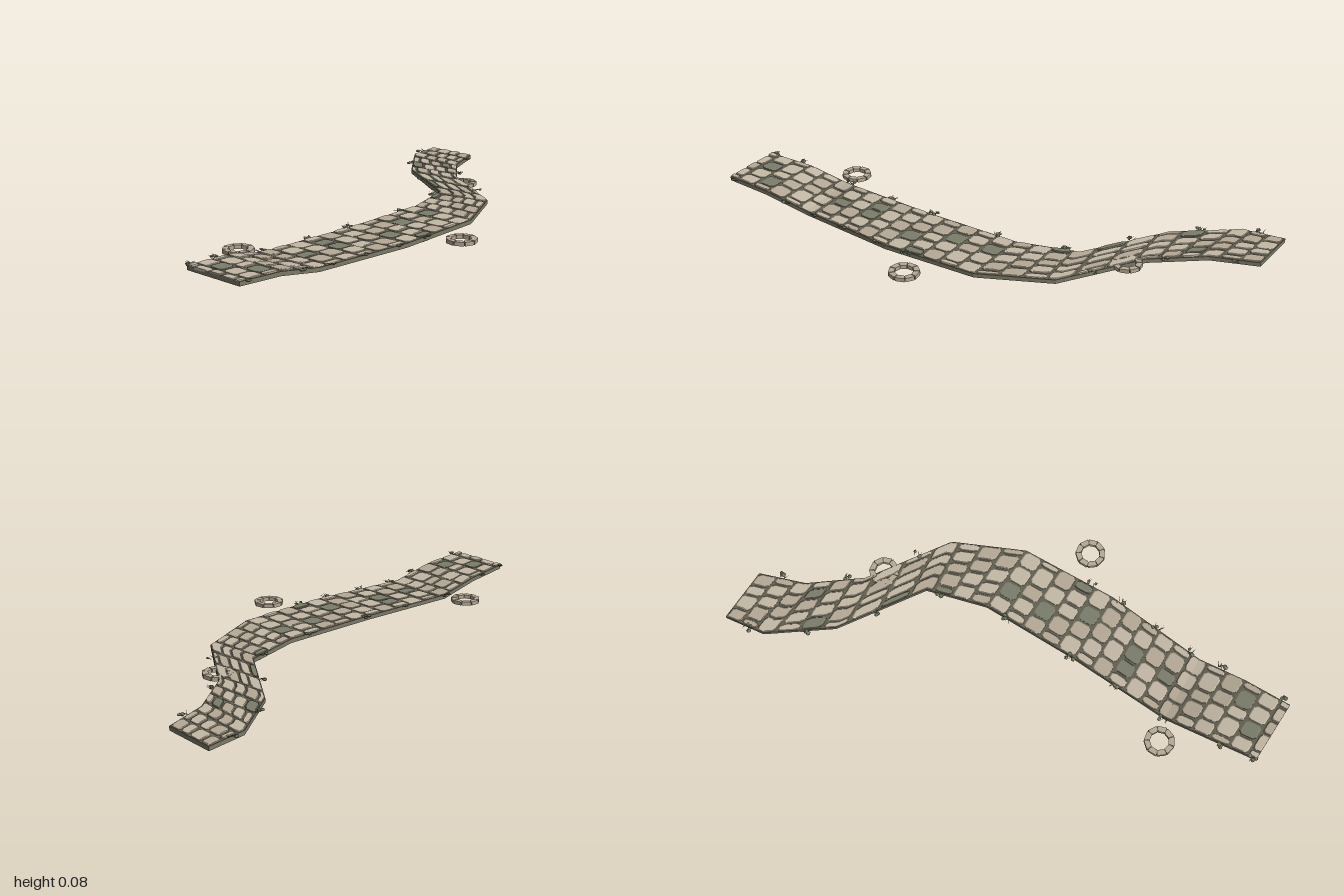
import * as THREE from 'three';
import { mergeGeometries } from 'three/addons/utils/BufferGeometryUtils.js';

// Cross-lines of the path: left x, left z, right x, right z, base height, stone rows counted so far
const stations = [
  [-0.525, -1.0, -0.31, -1.0, 0.005, 0],
  [-0.5, -0.84, -0.245, -0.825, 0.005, 2.5],
  [-0.33, -0.62, -0.1, -0.645, 0.005, 5.6],
  [-0.01, -0.42, 0.21, -0.45, 0.005, 8.6],
  [0.06, -0.185, 0.338, -0.185, 0.005, 12],
  [0.065, 0.21, 0.357, 0.2, 0.005, 17],
  [0.05, 0.62, 0.322, 0.61, 0.006, 22.5],
  [0.063, 0.8, 0.332, 0.8, 0.04, 25],
  [0.085, 0.988, 0.335, 0.988, 0.052, 27.5],
];
const SLAB = 0.016;

// Approximate x, z of the darker mossy stones
const darkSpots = [[0.145, -0.13], [0.145, 0.02], [0.23, 0.185], [0.11, 0.4], [0.19, 0.4], [0.17, 0.55],
  [0.26, 0.84], [0.155, 0.91], [0.33, 0.1], [0.02, -0.37], [-0.27, -0.77], [-0.38, -0.7], [-0.14, -0.52]];

// z positions of the weeds along each edge
const weeds = {
  0: [-0.9, -0.71, -0.53, -0.37, -0.1, 0.2, 0.4, 0.62, 0.84, 0.97],
  1: [-0.91, -0.7, -0.53, 0.1, 0.24, 0.41, 0.56, 0.7, 0.95],
};

let seed = 7;
const rnd = (a, b) => {
  seed = (seed * 16807) % 2147483647;
  return a + (b - a) * (seed / 2147483647);
};

// Point on the path: u across (0..1), segment i, v along the segment (0..1), h above the base
function at(u, i, v, h) {
  const p = stations[i], q = stations[i + 1];
  const m = (k) => p[k] + (q[k] - p[k]) * v;
  return [m(0) + (m(2) - m(0)) * u, m(4) + h, m(1) + (m(3) - m(1)) * u];
}

// Solid between two matching rings, counter-clockwise seen from above
function prism(bottom, top) {
  const out = [], n = top.length;
  for (let i = 0; i < n; i++) {
    const j = (i + 1) % n;
    out.push(...bottom[i], ...bottom[j], ...top[j], ...bottom[i], ...top[j], ...top[i]);
    if (i > 0 && i < n - 1) out.push(...top[0], ...top[i], ...top[j], ...bottom[0], ...bottom[j], ...bottom[i]);
  }
  const g = new THREE.BufferGeometry();
  g.setAttribute('position', new THREE.Float32BufferAttribute(out, 3));
  g.computeVertexNormals();
  return g;
}

// Block of the path bed between two fractions of a segment and two heights
function slab(i, u0, u1, v0, v1, h0, h1) {
  const ring = (h) => [[u0, v0], [u0, v1], [u1, v1], [u1, v0]].map(([u, v]) => at(u, i, v, h));
  return prism(ring(h0), ring(h1));
}

function plain(g) {
  const f = g.index ? g.toNonIndexed() : g;
  f.deleteAttribute('uv');
  f.computeVertexNormals();
  return f;
}

// Paving stone with a bevelled top; corners are cut only at ends that meet a joint
function stone({ i, u0, u1, v0, v1, openStart, openEnd }, low, high) {
  const ring = (inset, h) => {
    const du = (u1 - u0) * inset, dv = (v1 - v0) * inset;
    const a = u0 + du, b = u1 - du;
    const c = v0 + (openStart ? dv : 0), d = v1 - (openEnd ? dv : 0);
    const cs = openStart ? 0.17 : 0.005, ce = openEnd ? 0.17 : 0.005;
    const us = (b - a) * cs, ue = (b - a) * ce, vs = (d - c) * cs, ve = (d - c) * ce;
    return [[a, c + vs], [a, d - ve], [a + ue, d], [b - ue, d], [b, d - ve], [b, c + vs], [b - us, c], [a + us, c]]
      .map(([u, v]) => at(u, i, v, h));
  };
  const mid = ring(0, high - 0.002);
  return mergeGeometries([prism(ring(0, low), mid), prism(mid, ring(0.05, high))]);
}

export function createModel() {
  const model = new THREE.Group();
  const material = (name, color) => Object.assign(new THREE.MeshStandardMaterial({ color }), { name });
  const mats = {
    bed: material('bed grey', 0x7b7a67),
    under: material('underside grey', 0x9a9382),
    mortar: material('mortar', 0x626050),
    stone: material('pale stone', 0xc4b9a6),
    worn: material('worn stone', 0xb5aa96),
    dark: material('mossy stone', 0x7b7d6b),
    weed: material('weed green', 0x717459),
  };
  const add = (name, geometries, mat) => {
    const mesh = new THREE.Mesh(mergeGeometries(geometries), mat);
    mesh.name = name;
    model.add(mesh);
  };

  // Staggered division of each row into stones
  const rowCuts = Array.from({ length: 28 }, (_, r) => {
    const cuts = r % 2 ? [0, 0.14, 0.38, 0.62, 0.87, 1] : [0, 0.26, 0.5, 0.75, 1];
    return cuts.map((c) => (c > 0 && c < 1 ? c + rnd(-0.03, 0.03) : c));
  });

  // Bed with a lighter underside, mortar skin and joints
  const bed = [], under = [], mortar = [], cells = [];
  for (let i = 0; i < stations.length - 1; i++) {
    bed.push(slab(i, 0, 1, 0, 1, 0, SLAB - 0.001));
    under.push(slab(i, 0.01, 0.99, 0.02, 0.98, -0.001, 0.001));
    mortar.push(slab(i, 0, 1, 0, 1, SLAB - 0.001, SLAB));
    const from = stations[i][5], to = stations[i + 1][5];
    for (let r = Math.floor(from); r < to; r++) {
      const openStart = r >= from, openEnd = r + 1 <= to;
      const v0 = ((openStart ? r + 0.06 : from) - from) / (to - from);
      const v1 = ((openEnd ? r + 0.94 : to) - from) / (to - from);
      const cuts = rowCuts[r];
      for (let k = 0; k < cuts.length - 1; k++) {
        const u0 = cuts[k] + 0.016, u1 = cuts[k + 1] - 0.016;
        const centre = at((u0 + u1) / 2, i, (v0 + v1) / 2, 0);
        cells.push({ i, u0, u1, v0, v1, openStart, openEnd, id: r * 6 + k, centre });
      }
    }
  }
  // The stone nearest each listed spot is a dark one that reaches through the bed
  const darkIds = darkSpots.map(([x, z]) => {
    const d = (c) => Math.hypot(c.centre[0] - x, c.centre[2] - z);
    return cells.reduce((a, b) => (d(b) < d(a) ? b : a)).id;
  });
  const pale = [], worn = [], mossy = [], tips = [];
  for (const c of cells) {
    const dark = darkIds.includes(c.id);
    const high = SLAB + 0.003 + ((c.id * 7) % 5) * 0.0007;
    const group = dark ? mossy : (c.id * 5) % 7 < 3 ? worn : pale;
    group.push(stone(c, dark ? -0.003 : 0.01, high));
    // Small stone tips showing under the bed
    if (!dark && c.id % 3 === 0) {
      const u = (c.u0 + c.u1) / 2, v = (c.v0 + c.v1) / 2;
      tips.push(slab(c.i, u - 0.016, u + 0.016, v - 0.015, v + 0.015, -0.003, 0.001));
    }
  }
  add('pathBed', bed, mats.bed);
  add('pathUnderside', under, mats.under);
  add('mortar', mortar, mats.mortar);
  add('pavingStones', pale, mats.stone);
  add('wornStones', worn, mats.worn);
  add('stoneTips', tips, mats.stone);
  add('mossyStones', mossy, mats.dark);

  // Rings of wedge-shaped blocks beside the path
  for (const [x, z] of [[-0.037, -0.6], [0.465, 0.03], [-0.037, 0.65]]) {
    const blocks = [], joints = [], n = 9;
    const wedge = (r0, r1, a0, a1, y0, y1) => {
      const ring = (y) => [[r0, a0], [r0, a1], [r1, a1], [r1, a0]]
        .map(([r, a]) => [x + r * Math.cos(a), y, z + r * Math.sin(a)]);
      return prism(ring(y0), ring(y1));
    };
    for (let k = 0; k < n; k++) {
      const a = (k / n) * Math.PI * 2, s = (Math.PI * 2) / n;
      blocks.push(wedge(0.036, 0.058, a + 0.04, a + s - 0.04, 0.01, 0.025));
      joints.push(wedge(0.038, 0.055, a, a + s, 0.011, 0.023));
    }
    add('stoneRing', blocks, mats.worn);
    add('ringJoints', joints, mats.mortar);
  }

  // Weeds and pebbles along the edges
  const leaves = [], pebbles = [];
  for (const side of [0, 1]) {
    const out = side ? 1 : -1;
    for (const z of weeds[side]) {
      const zk = side ? 3 : 1;
      const i = stations.findIndex((s, k) => k < stations.length - 1 && z <= stations[k + 1][zk]);
      const v = (z - stations[i][zk]) / (stations[i + 1][zk] - stations[i][zk]);
      const [x, y] = at(side, i, v, SLAB);
      for (let k = 0; k < 3; k++) {
        const clump = new THREE.IcosahedronGeometry(rnd(0.006, 0.01), 0);
        clump.scale(1, 0.5, 1).translate(x + out * rnd(-0.006, 0.016), y + 0.003, z + rnd(-0.018, 0.018));
        (k ? leaves : pebbles).push(plain(clump));
      }
      for (let k = 0; k < 4; k++) {
        const blade = new THREE.ConeGeometry(0.0022, 0.024, 3);
        blade.translate(0, 0.012, 0).rotateZ(-out * rnd(1.15, 1.45)).rotateY(rnd(-0.7, 0.7));
        blade.translate(x, y + 0.002, z + rnd(-0.015, 0.015) * (z > 0.9 ? 0.3 : 1));
        leaves.push(plain(blade));
      }
    }
  }
  add('edgeWeeds', leaves, mats.weed);
  add('edgePebbles', pebbles, mats.dark);
  return model;
}
